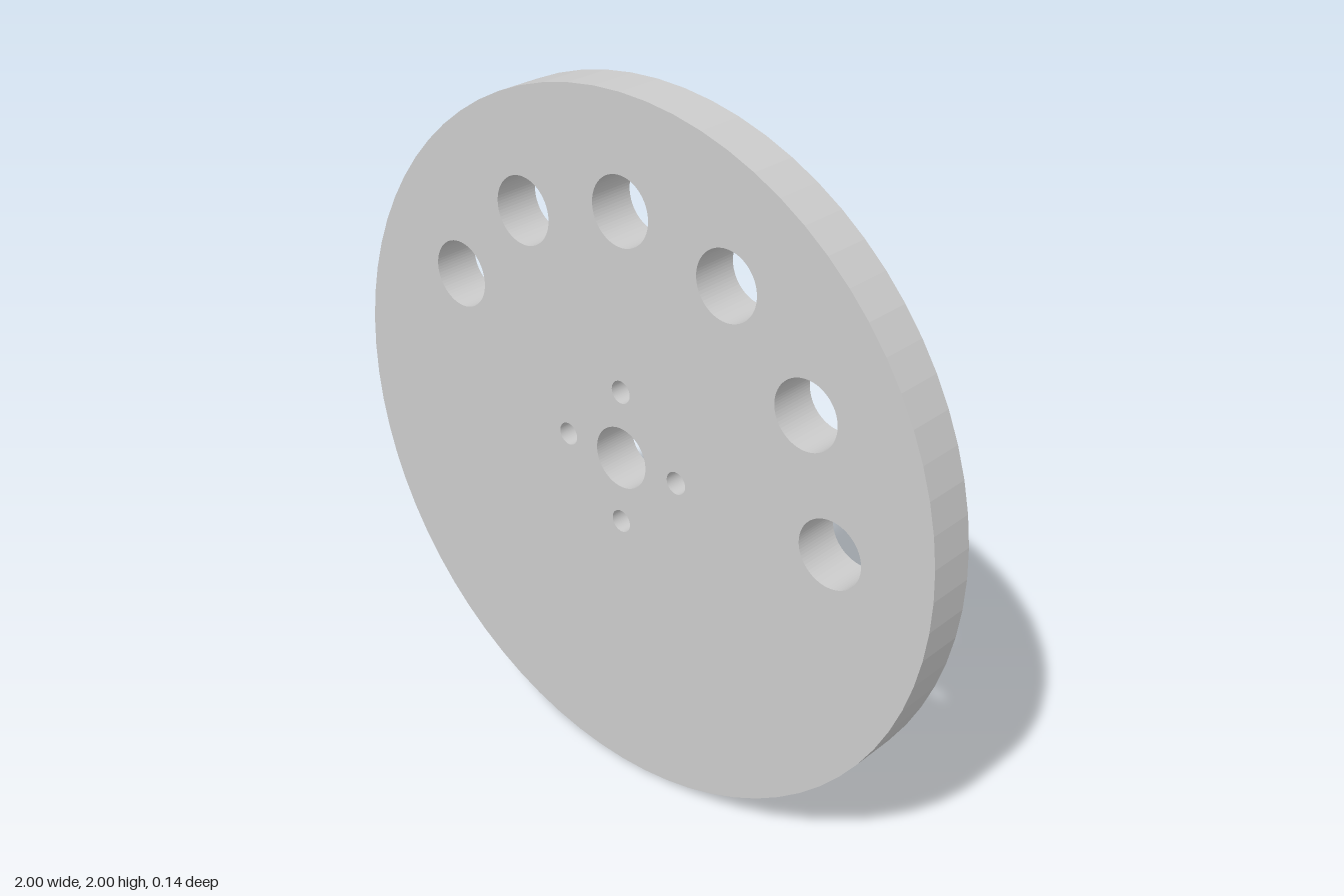
import * as THREE from 'three';

const THICKNESS = 0.136;

// Adds a round through-hole at polar position (ring, degrees)
function drill(shape, ring, degrees, radius) {
  const a = THREE.MathUtils.degToRad(degrees);
  const hole = new THREE.Path();
  hole.absarc(ring * Math.cos(a), ring * Math.sin(a), radius, 0, Math.PI * 2, true);
  shape.holes.push(hole);
}

export function createModel() {
  const group = new THREE.Group();
  group.name = 'perforatedWheel';

  // Disc outline
  const outline = new THREE.Shape();
  outline.absarc(0, 0, 1, 0, Math.PI * 2, false);

  // Hub bore and its four bolt holes
  drill(outline, 0, 0, 0.088);
  for (let i = 0; i < 4; i++) drill(outline, 0.195, i * 90, 0.032);

  // Six large holes every 30 degrees, from the left side round over the top
  for (let i = 0; i < 6; i++) drill(outline, 0.695, i * 30, 0.095);

  // Flat-sided plate, standing upright
  const geometry = new THREE.ExtrudeGeometry(outline, {
    depth: THICKNESS, bevelEnabled: false, curveSegments: 36,
  });
  geometry.translate(0, 1, -THICKNESS / 2);

  const disc = new THREE.Mesh(
    geometry,
    new THREE.MeshStandardMaterial({ color: 0xcccccc, flatShading: true }),
  );
  disc.name = 'disc';
  group.add(disc);
  return group;
}
